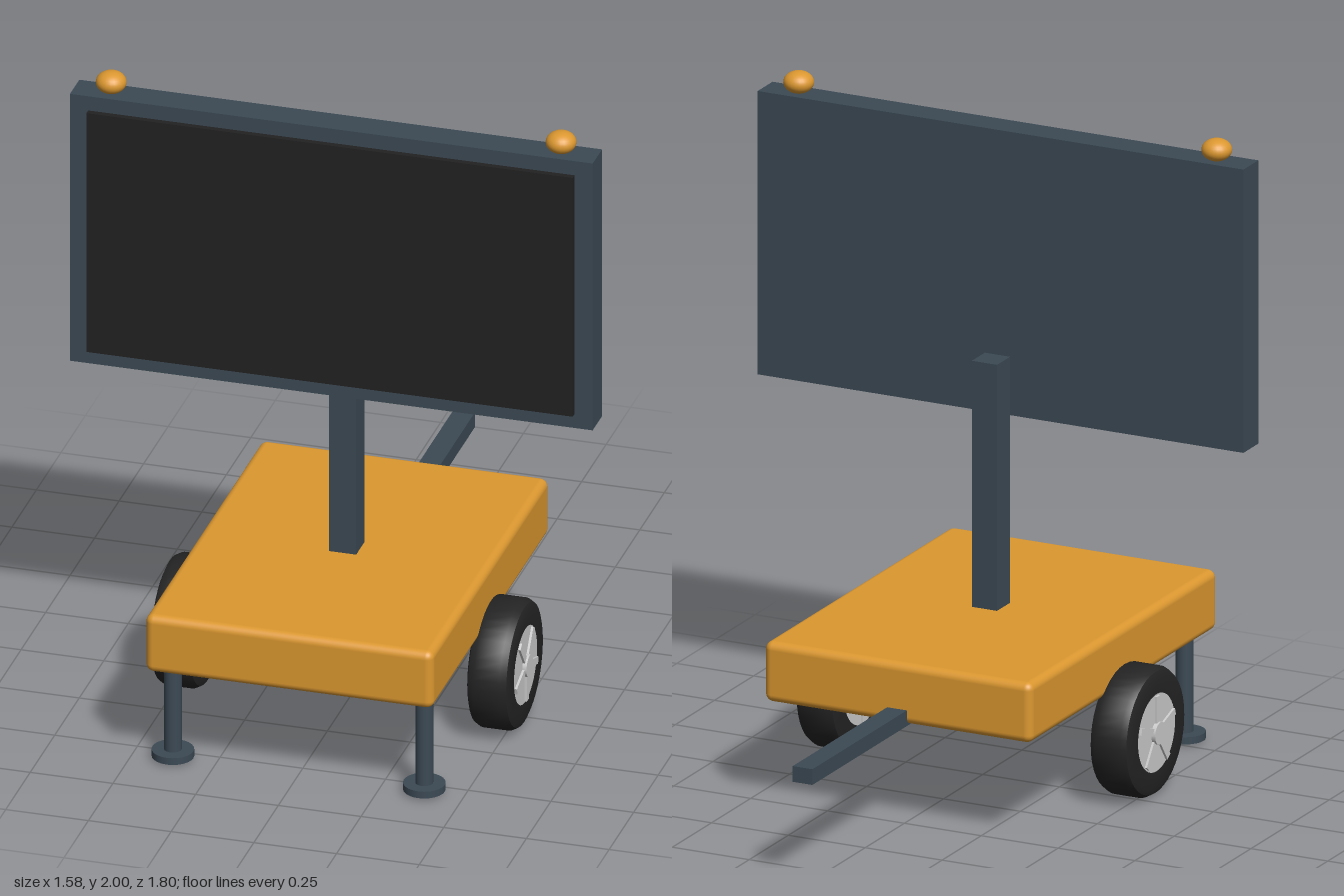
import * as THREE from 'three';
import { RoundedBoxGeometry } from 'three/addons/geometries/RoundedBoxGeometry.js';
import { toCreasedNormals } from 'three/addons/utils/BufferGeometryUtils.js';

const material = (name, color) => {
  const m = new THREE.MeshStandardMaterial({ color });
  m.name = name;
  return m;
};

export function createModel() {
  const amber = material('amber', 0xdc9830);
  const steel = material('slate steel', 0x3c4a55);
  const black = material('screen black', 0x222222);
  const rubber = material('tyre rubber', 0x242424);
  const silver = material('rim silver', 0xcccccc);

  const model = new THREE.Group();
  model.name = 'messageBoardTrailer';

  const add = (parent, name, geometry, mat, x = 0, y = 0, z = 0) => {
    const mesh = new THREE.Mesh(geometry, mat);
    mesh.name = name;
    mesh.position.set(x, y, z);
    parent.add(mesh);
    return mesh;
  };
  // Box given by its limits on each axis
  const box = (name, mat, [x0, x1], [y0, y1], [z0, z1]) =>
    add(model, name, new THREE.BoxGeometry(x1 - x0, y1 - y0, z1 - z0), mat,
      (x0 + x1) / 2, (y0 + y1) / 2, (z0 + z1) / 2);

  // Trailer body, drawbar and mast
  add(model, 'trailerBody', new RoundedBoxGeometry(0.87, 0.184, 1.194, 4, 0.024), amber, 0, 0.412, 0.3);
  box('drawbar', steel, [-0.032, 0.032], [0.317, 0.365], [-0.9, -0.24]);
  box('mast', steel, [-0.041, 0.041], [0.48, 1.256], [0.261, 0.344]);

  // Sign cabinet and its display
  box('signCabinet', steel, [-0.79, 0.79], [1.07, 1.936], [0.364, 0.459]);
  box('displayPanel', black, [-0.735, 0.735], [1.115, 1.89], [0.45, 0.477]);

  // Tyre: closed profile turned about its axle
  const tyreProfile = [
    [0.118, -0.062], [0.17, -0.064], [0.185, -0.058], [0.195, -0.04],
    [0.195, 0.04], [0.185, 0.058], [0.17, 0.064], [0.118, 0.062], [0.118, -0.062],
  ].map(([r, h]) => new THREE.Vector2(r, h));
  const tyreGeometry = toCreasedNormals(new THREE.LatheGeometry(tyreProfile, 40), 0.6);
  const rimGeometry = new THREE.CylinderGeometry(0.119, 0.119, 0.124, 40);
  const capGeometry = new THREE.CylinderGeometry(0.034, 0.034, 0.15, 20);
  const spokeGeometry = new THREE.BoxGeometry(0.09, 0.138, 0.022);

  const legGeometry = new THREE.CylinderGeometry(0.026, 0.026, 0.32, 20);
  const footGeometry = new THREE.CylinderGeometry(0.062, 0.062, 0.022, 24);
  const beaconGeometry = new THREE.SphereGeometry(0.045, 24, 16);

  for (const [side, s] of [['left', 1], ['right', -1]]) {
    // Wheel with a five-spoke rim showing on both faces
    const wheel = new THREE.Group();
    wheel.name = side + 'Wheel';
    wheel.position.set(s * 0.478, 0.196, 0.3);
    wheel.rotation.z = -s * Math.PI / 2;
    model.add(wheel);
    add(wheel, 'tyre', tyreGeometry, rubber);
    add(wheel, 'rim', rimGeometry, silver);
    add(wheel, 'hubCap', capGeometry, silver);
    for (let i = 0; i < 5; i++) {
      const a = (i / 5) * Math.PI * 2;
      add(wheel, 'spoke', spokeGeometry, silver, 0.068 * Math.cos(a), 0, -0.068 * Math.sin(a)).rotation.y = a;
    }

    // Front stabiliser
    add(model, side + 'StabiliserLeg', legGeometry, steel, s * 0.38, 0.18, 0.793);
    add(model, side + 'StabiliserFoot', footGeometry, steel, s * 0.38, 0.02, 0.793);

    // Warning beacon
    add(model, side + 'Beacon', beaconGeometry, amber, s * 0.68, 1.967, 0.41).scale.y = 0.74;
  }

  return model;
}
